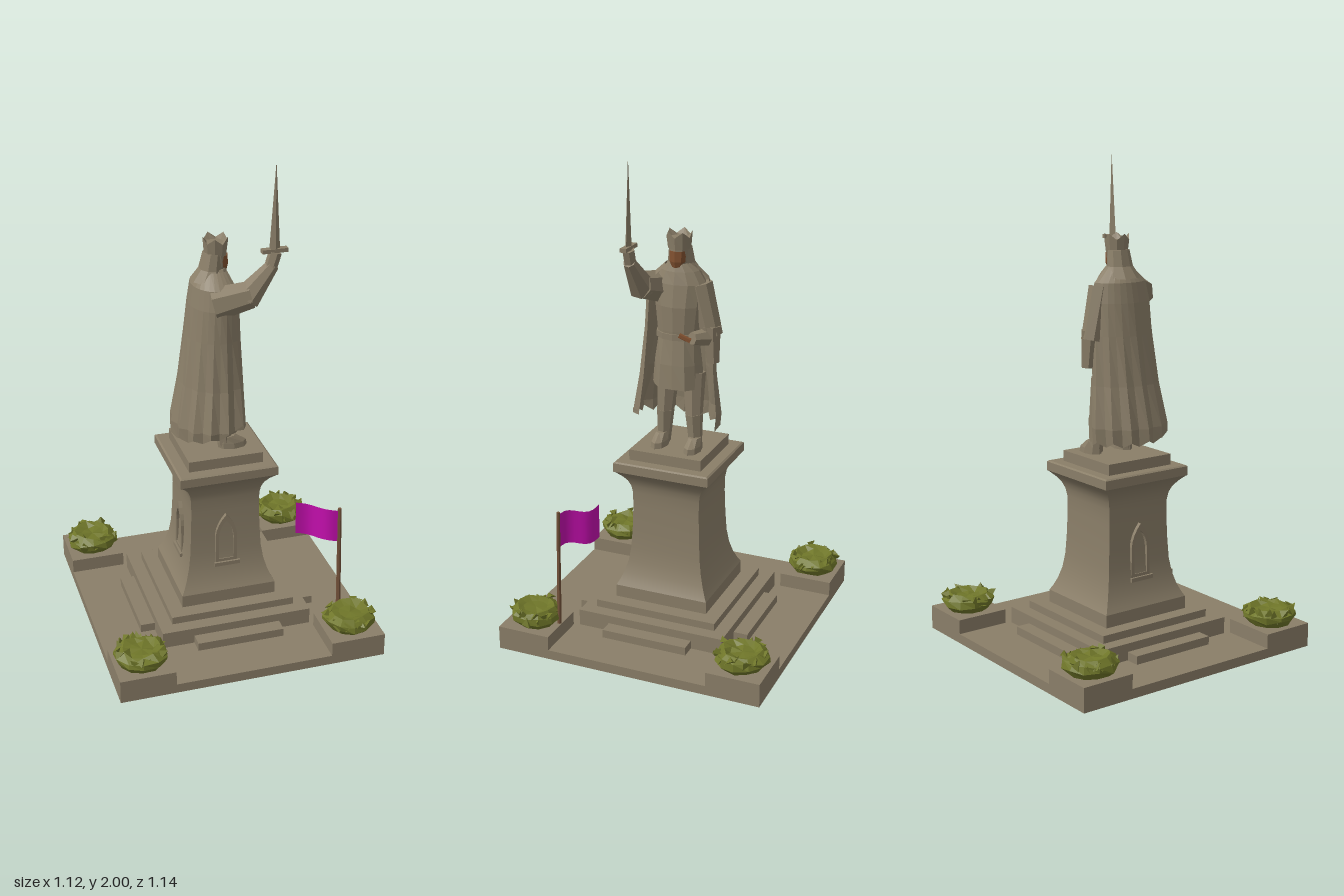
import * as THREE from 'three';
import { toCreasedNormals } from 'three/addons/utils/BufferGeometryUtils.js';

const mat = (name, color, extra = {}) => new THREE.MeshStandardMaterial({ name, color, ...extra });

// faceted normals for the carved, low-poly parts
function flat(geo) {
  const g = geo.index ? geo.toNonIndexed() : geo;
  g.computeVertexNormals();
  return g;
}

// skin a stack of rings (bottom to top, points turning from +x to +z)
function loft(rings, closed = true) {
  const n = rings[0].length, pos = rings.flat(2), idx = [];
  const cols = closed ? n : n - 1;
  for (let j = 0; j < rings.length - 1; j++) for (let i = 0; i < cols; i++) {
    const a = j * n + i, b = j * n + (i + 1) % n, c = b + n, d = a + n;
    idx.push(a, d, c, a, c, b);
  }
  if (closed) [0, rings.length - 1].forEach((j) => {
    const mid = [0, 1, 2].map((k) => rings[j].reduce((s, p) => s + p[k], 0) / n);
    const m = pos.length / 3;
    pos.push(...mid);
    for (let i = 0; i < n; i++) {
      const a = j * n + i, b = j * n + (i + 1) % n;
      if (j === 0) idx.push(m, a, b); else idx.push(m, b, a);
    }
  });
  const g = new THREE.BufferGeometry();
  g.setAttribute('position', new THREE.Float32BufferAttribute(pos, 3));
  g.setIndex(idx);
  return g;
}

// elliptical ring: height, centre x/z, radii
const ring = (n, y, cx, cz, rx, rz, fold = 0) => Array.from({ length: n }, (_, i) => {
  const t = (i / n) * Math.PI * 2, k = 1 + (i % 2 ? fold : -fold);
  return [cx + rx * k * Math.cos(t), y, cz + rz * k * Math.sin(t)];
});

export function createModel() {
  const model = new THREE.Group();
  const stone = mat('stone', 0x8a7e68);
  const cloth = mat('draped stone', 0x8a7e68, { side: THREE.DoubleSide });
  const earth = mat('underside brown', 0x4a3424);
  const leaf = mat('leaf green', 0x6f7629);
  const wood = mat('wood', 0x74523a);
  const hairMat = mat('beard brown', 0x80502f);
  const flagMat = mat('magenta', 0xc00eaa, { side: THREE.DoubleSide });

  let seed = 7;
  const rnd = () => (seed = (seed * 16807) % 2147483647) / 2147483647;

  const add = (name, geo, material, parent = model) => {
    const m = new THREE.Mesh(geo, material);
    m.name = name;
    parent.add(m);
    return m;
  };
  const block = (name, x0, x1, y0, y1, z0, z1, material = stone, parent = model) => {
    const m = add(name, new THREE.BoxGeometry(x1 - x0, y1 - y0, z1 - z0), material, parent);
    m.position.set((x0 + x1) / 2, (y0 + y1) / 2, (z0 + z1) / 2);
    return m;
  };
  // tapered limb between two points
  const limb = (name, a, b, ra, rb, material, parent, sides = 7) => {
    const A = new THREE.Vector3(...a), B = new THREE.Vector3(...b), d = B.clone().sub(A);
    const m = add(name, flat(new THREE.CylinderGeometry(rb, ra, d.length(), sides)), material, parent);
    m.position.copy(A).add(B).multiplyScalar(0.5);
    m.quaternion.setFromUnitVectors(new THREE.Vector3(0, 1, 0), d.normalize());
    return m;
  };

  // ground slab and stepped plinth
  block('groundSlab', -0.56, 0.56, 0, 0.04, -0.57, 0.57, [stone, stone, stone, earth, stone, stone]);
  block('lowerStep', -0.32, 0.32, 0.04, 0.11, -0.32, 0.32);
  block('upperStep', -0.265, 0.265, 0.11, 0.142, -0.265, 0.265);
  for (const s of [-1, 1]) {
    const lo = s < 0 ? -0.38 : 0.32, hi = s < 0 ? -0.32 : 0.38;
    block('sideTread', lo, hi, 0.04, 0.075, -0.185, 0.185);
    block('endTread', -0.185, 0.185, 0.04, 0.075, lo, hi);
  }

  // curved square pedestal
  const profile = [[0.14, 0.203], [0.195, 0.203], [0.215, 0.192], [0.25, 0.177], [0.3, 0.163], [0.36, 0.154],
    [0.45, 0.149], [0.55, 0.146], [0.61, 0.147], [0.64, 0.152], [0.665, 0.162], [0.69, 0.18], [0.71, 0.2],
    [0.715, 0.207], [0.752, 0.207], [0.757, 0.2]];
  const square = (y, r) => [[r, y, -r], [r, y, r], [-r, y, r], [-r, y, -r]];
  add('pedestal', toCreasedNormals(loft(profile.map(([y, r]) => square(y, r))), 0.5), stone);
  block('pedestalCap', -0.157, 0.157, 0.755, 0.802, -0.157, 0.157);

  // pointed niches on two faces
  const arch = (P, w, y0, y1, y2) => {
    const s = new P();
    s.moveTo(-w, y0);
    s.lineTo(w, y0);
    s.lineTo(w, y1);
    s.quadraticCurveTo(w * 0.9, y1 + 0.05, 0, y2);
    s.quadraticCurveTo(-w * 0.9, y1 + 0.05, -w, y1);
    return s;
  };
  for (const turn of [0, -Math.PI / 2]) {
    const niche = new THREE.Group();
    niche.name = 'niche';
    const frame = arch(THREE.Shape, 0.046, 0.31, 0.44, 0.535);
    frame.holes.push(arch(THREE.Path, 0.032, 0.325, 0.43, 0.505));
    add('nicheFrame', new THREE.ExtrudeGeometry(frame, { depth: 0.022, bevelEnabled: false, curveSegments: 4 }),
      stone, niche).position.z = 0.141;
    block('nicheSill', -0.052, 0.058, 0.295, 0.312, 0.14, 0.172, stone, niche);
    niche.rotation.y = turn;
    model.add(niche);
  }

  // corner planters with shrubs
  for (const sx of [-1, 1]) for (const sz of [-1, 1]) {
    const x = sx * 0.445, z = sz * 0.457;
    block('cornerBlock', x - 0.115, x + 0.115, 0.04, 0.1, z - 0.113, z + 0.113);
    const shrub = new THREE.Group();
    shrub.name = 'shrub';
    shrub.position.set(x, 0.1, z);
    const rows = [[0.0, 0.085], [0.025, 0.108], [0.05, 0.108], [0.07, 0.08], [0.06, 0.05]];
    add('foliage', flat(loft(rows.map(([y, r]) => ring(11, y, 0, 0, r, r).map(([px, py, pz]) => {
      const k = 0.9 + rnd() * 0.16;
      return [px * k, py + (y ? (rnd() - 0.5) * 0.016 : 0), pz * k];
    })))), leaf, shrub);
    for (let i = 0; i < 26; i++) {
      const t = (i / 26) * Math.PI * 2 + rnd() * 0.2, r = 0.078 + rnd() * 0.022;
      const l = add('leaf', new THREE.TetrahedronGeometry(0.027), leaf, shrub);
      l.scale.set(1, 0.55, 1);
      l.position.set(r * Math.cos(t), 0.032 + rnd() * 0.034, r * Math.sin(t));
      l.rotation.set(rnd() * 6, rnd() * 6, rnd() * 6);
    }
    model.add(shrub);
  }

  // flag on a thin pole
  limb('flagPole', [0.435, 0.1, 0.355], [0.425, 0.6, 0.35], 0.01, 0.008, wood, model, 6);
  const flag = new THREE.PlaneGeometry(0.186, 0.145, 10, 3);
  const fp = flag.attributes.position;
  for (let i = 0; i < fp.count; i++) {
    const u = (fp.getX(i) + 0.093) / 0.186, v = fp.getY(i);
    const wave = 0.016 * Math.sin(u * 6.5);
    fp.setXYZ(i, 0.428 - 0.15 * u - wave * 0.6, 0.514 + v + 0.006 * Math.sin(u * 7), 0.35 - 0.112 * u + wave * 0.8);
  }
  flag.computeVertexNormals();
  add('flag', flag, flagMat);

  // statue, facing +x
  const statue = new THREE.Group();
  statue.name = 'statue';
  model.add(statue);

  const tunic = [[1.06, 0.01, 0, 0.08, 0.108, 0.05], [1.16, 0.01, 0, 0.074, 0.1, 0.04], [1.27, 0.005, 0, 0.066, 0.088],
    [1.3, 0.005, 0, 0.068, 0.09], [1.4, 0, 0, 0.075, 0.102], [1.49, -0.01, 0, 0.072, 0.112],
    [1.54, -0.01, 0, 0.06, 0.08], [1.57, 0, 0, 0.04, 0.045]];
  add('tunic', flat(loft(tunic.map((r) => ring(12, ...r)))), stone, statue);
  add('belt', flat(loft([ring(12, 1.265, 0.005, 0, 0.073, 0.095), ring(12, 1.29, 0.005, 0, 0.073, 0.095)])), stone, statue);

  // legs and boots
  for (const [z, x] of [[0.055, 0.02], [-0.075, 0.03]]) {
    limb('upperLeg', [x, 0.94, z], [0.005, 1.12, z * 0.85], 0.036, 0.05, stone, statue);
    limb('lowerLeg', [x, 0.81, z * 1.1], [x, 0.95, z], 0.027, 0.038, stone, statue);
    const foot = [[0.8, 0.035, 0.062, 0.034], [0.825, 0.032, 0.06, 0.032], [0.855, 0.012, 0.034, 0.026]];
    add('boot', flat(loft(foot.map(([y, cx, rx, rz]) => ring(8, y, x + cx, z * 1.15, rx, rz)))), stone, statue);
  }

  // folded cape, open to the front
  const capeRows = [[0.855, -0.02, 0.022, 0.165, 0.172], [0.93, -0.02, 0.02, 0.165, 0.176], [1.1, -0.012, 0.012, 0.142, 0.155],
    [1.3, -0.008, 0.005, 0.12, 0.142], [1.43, -0.005, 0.003, 0.108, 0.135], [1.51, -0.005, 0, 0.095, 0.12], [1.565, -0.005, 0, 0.06, 0.06]];
  const cols = 19;
  add('cape', flat(loft(capeRows.map(([y, cx, cz, rx, rz], j) => Array.from({ length: cols }, (_, i) => {
    const u = i / (cols - 1), t = THREE.MathUtils.degToRad(48 + u * 218);
    const low = Math.max(0, (1.4 - y) / 0.55), k = 1 + (i % 2 ? 0.06 : -0.05) * low;
    const hem = j === 0 ? 0.09 * Math.pow(1 - u, 3) + 0.02 * (i % 2) : 0;
    return [cx + rx * k * Math.cos(t), y + hem, cz + rz * k * Math.sin(t)];
  })), false)), cloth, statue);

  // raised sword arm
  limb('raisedShoulder', [-0.03, 1.45, 0.085], [0.11, 1.49, 0.122], 0.07, 0.056, stone, statue);
  limb('raisedForearm', [0.09, 1.475, 0.12], [0.195, 1.605, 0.128], 0.056, 0.026, stone, statue);
  limb('raisedHand', [0.185, 1.595, 0.128], [0.203, 1.655, 0.128], 0.026, 0.026, stone, statue, 6);
  limb('swordGrip', [0.2, 1.585, 0.128], [0.2, 1.67, 0.128], 0.01, 0.01, stone, statue, 6);
  block('swordGuard', 0.148, 0.252, 1.655, 1.671, 0.115, 0.141, stone, statue);
  const blade = limb('swordBlade', [0.2, 1.665, 0.128], [0.202, 2, 0.125], 0.022, 0.001, stone, statue, 4);
  blade.scale.z = 0.6;

  // lowered arm with draped sleeve
  limb('loweredUpperArm', [-0.01, 1.49, -0.085], [-0.015, 1.28, -0.135], 0.05, 0.044, stone, statue);
  limb('loweredForearm', [-0.02, 1.27, -0.135], [0.075, 1.285, -0.085], 0.042, 0.026, stone, statue);
  limb('sleeveDrape', [0.0, 1.17, -0.145], [-0.005, 1.32, -0.135], 0.027, 0.04, stone, statue, 6);
  limb('beltHilt', [0.08, 1.275, -0.08], [0.09, 1.295, -0.035], 0.011, 0.011, hairMat, statue, 5);

  // head, beard, hair and crown
  const head = [[1.54, 0.005, 0, 0.03, 0.032], [1.58, 0.008, 0, 0.038, 0.038], [1.64, 0.004, 0, 0.042, 0.042], [1.67, 0, 0, 0.036, 0.036]];
  add('head', flat(loft(head.map((r) => ring(9, ...r)))), stone, statue);
  const beard = [[1.545, 0.03, 0, 0.012, 0.014], [1.58, 0.022, 0, 0.03, 0.034], [1.622, 0.018, 0, 0.032, 0.036]];
  add('beard', flat(loft(beard.map((r) => ring(8, ...r)))), hairMat, statue);
  const hair = [[1.525, -0.035, 0, 0.065, 0.08], [1.57, -0.02, 0, 0.046, 0.056], [1.635, -0.01, 0, 0.04, 0.047]];
  add('hair', flat(loft(hair.map((r) => ring(9, ...r)))), stone, statue);
  const rim = ring(10, 1.675, 0, 0, 0.052, 0.052).map(([x, y, z], i) => [x, y + (i % 2 ? 0.024 : 0), z]);
  add('crown', flat(loft([ring(10, 1.628, 0, 0, 0.046, 0.046), rim, ring(10, 1.672, 0, 0, 0.036, 0.036)])), stone, statue);

  return model;
}
